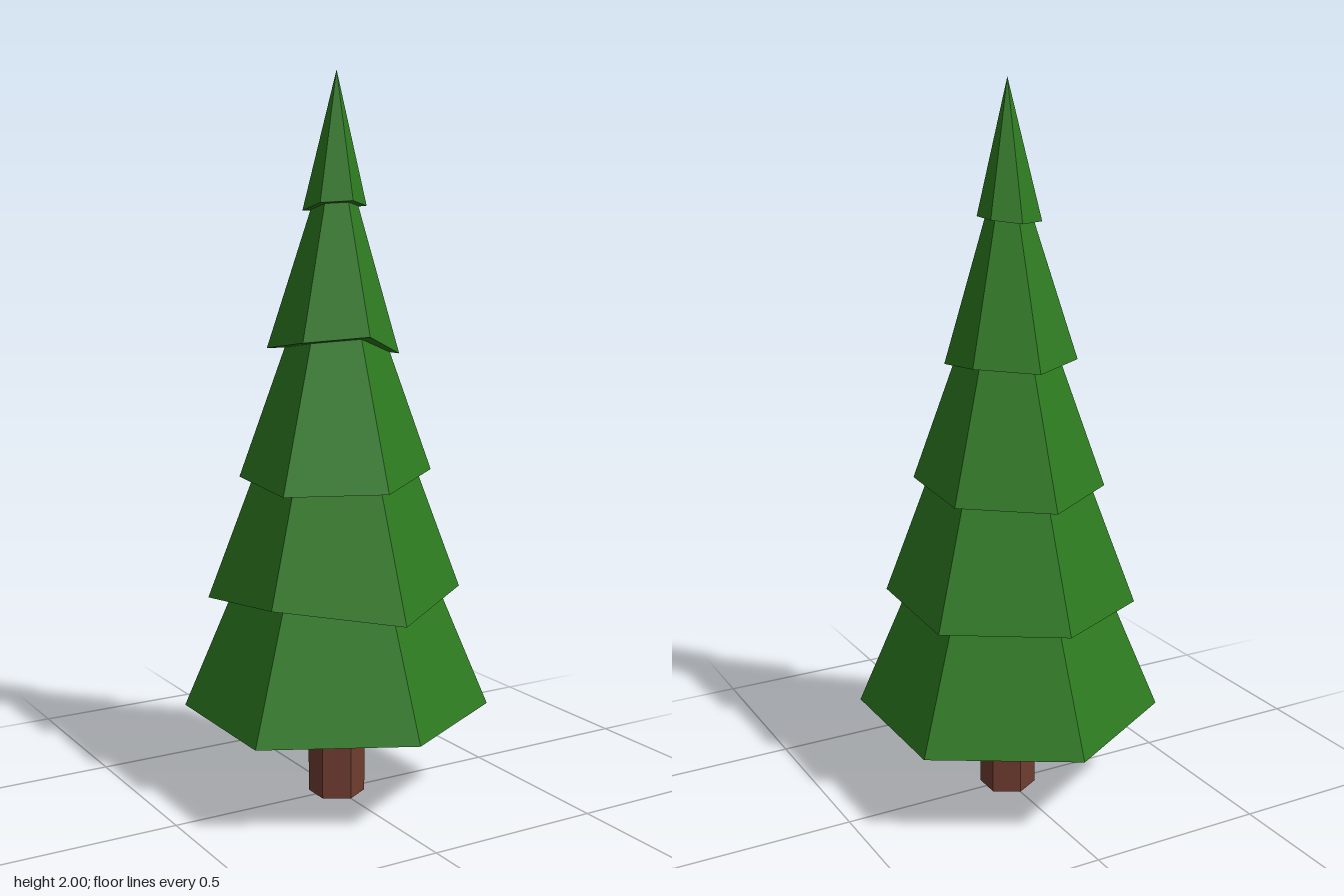
import * as THREE from 'three';

const leafMaterial = new THREE.MeshStandardMaterial({ color: 0x2d7a20, flatShading: true });
const barkMaterial = new THREE.MeshStandardMaterial({ color: 0x6f3d30, flatShading: true });

// Each tier: apex height, then rim radii and rim heights
// in the order front, front-left, back-left, back, back-right, front-right (the model's own sides).
const tiers = [
  { apex: 1.27, r: [0.425, 0.425, 0.425, 0.425, 0.427, 0.427], y: [0.26, 0.254, 0.252, 0.25, 0.252, 0.252] },
  { apex: 1.52, r: [0.357, 0.342, 0.349, 0.35, 0.358, 0.344], y: [0.56, 0.595, 0.58, 0.575, 0.563, 0.6] },
  { apex: 1.66, r: [0.27, 0.26, 0.266, 0.275, 0.268, 0.283], y: [0.895, 0.925, 0.907, 0.895, 0.905, 0.89] },
  { apex: 1.85, r: [0.173, 0.171, 0.174, 0.182, 0.19, 0.18], y: [1.3, 1.245, 1.262, 1.25, 1.26, 1.285] },
  { apex: 2.0, r: [0.086, 0.081, 0.083, 0.083, 0.092, 0.088], y: [1.655, 1.643, 1.64, 1.63, 1.63, 1.65] },
];

// Six-sided cone whose rim corners are moved to uneven radii and heights
function tierGeometry({ apex, r, y }) {
  const geometry = new THREE.ConeGeometry(1, 1, 6, 1);
  const p = geometry.attributes.position;
  const meanY = y.reduce((a, b) => a + b, 0) / 6;
  for (let i = 0; i < p.count; i++) {
    if (p.getY(i) > 0) {
      p.setXYZ(i, 0, apex, 0);
    } else if (Math.hypot(p.getX(i), p.getZ(i)) < 0.5) {
      p.setXYZ(i, 0, meanY, 0);
    } else {
      const angle = Math.atan2(p.getX(i), p.getZ(i));
      const k = (Math.round(angle / (Math.PI / 3)) + 6) % 6;
      p.setXYZ(i, r[k] * Math.sin(angle), y[k], r[k] * Math.cos(angle));
    }
  }
  geometry.computeVertexNormals();
  return geometry;
}

export function createModel() {
  const tree = new THREE.Group();
  tree.name = 'pineTree';

  // Hexagonal trunk, ending just inside the lowest tier
  const trunk = new THREE.Mesh(new THREE.CylinderGeometry(0.079, 0.079, 0.27, 6), barkMaterial);
  trunk.position.y = 0.135;
  trunk.name = 'trunk';
  tree.add(trunk);

  // Stacked foliage tiers
  tiers.forEach((tier, i) => {
    const mesh = new THREE.Mesh(tierGeometry(tier), leafMaterial);
    mesh.name = `foliageTier${i + 1}`;
    tree.add(mesh);
  });

  return tree;
}
